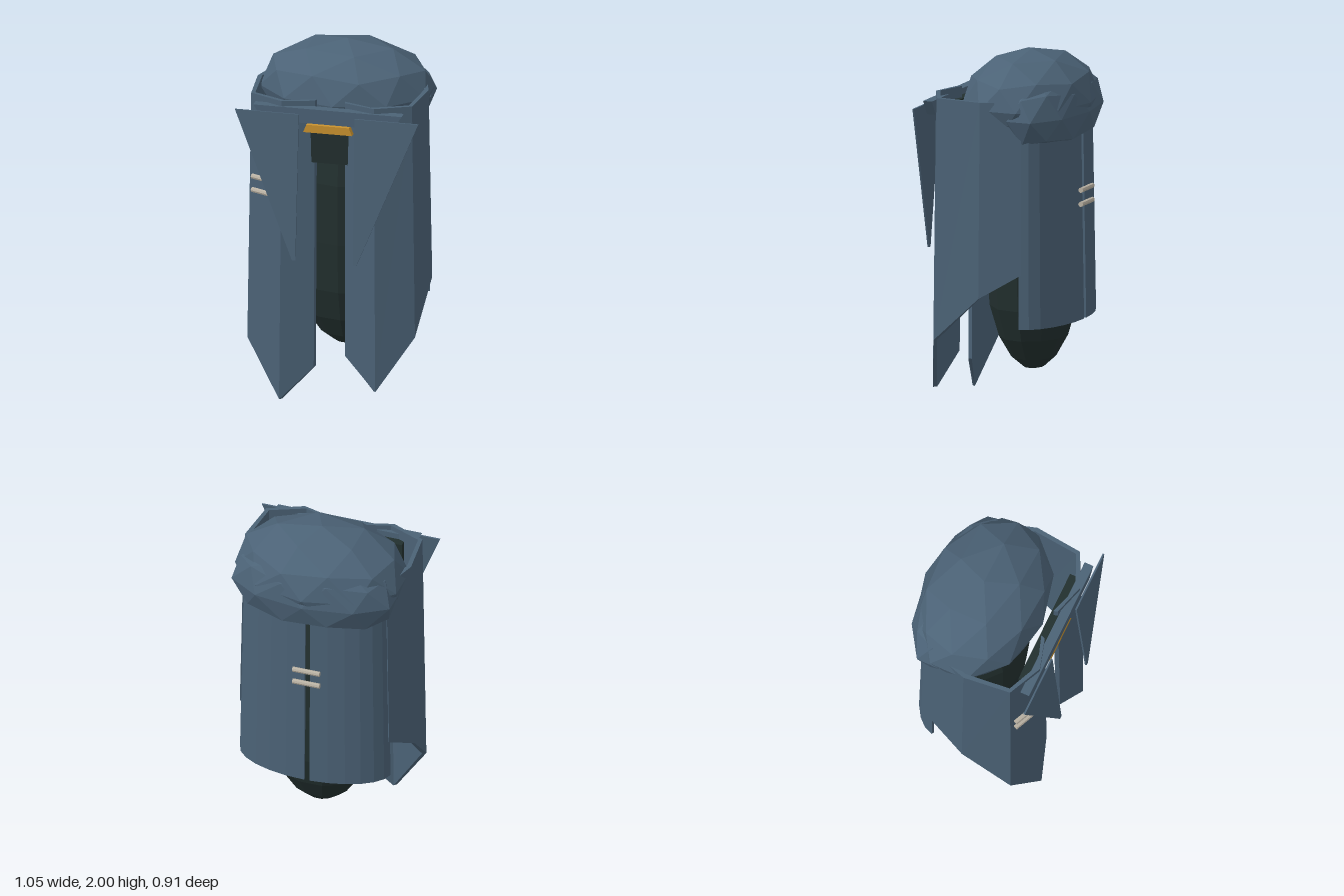
import * as THREE from 'three';

const flat = (color, name) => {
  const m = new THREE.MeshStandardMaterial({ color, flatShading: true, side: THREE.DoubleSide });
  m.name = name;
  return m;
};

// Low-poly ellipsoid with a vertex at the top
function ellipsoid(rx, ry, rz) {
  const g = new THREE.IcosahedronGeometry(1, 1);
  g.rotateZ(Math.atan(2 / (1 + Math.sqrt(5))));
  g.rotateY(Math.PI);
  return g.scale(rx, ry, rz);
}

// Thick cloth wall: stations [x, z, bottomY] run counter-clockwise seen from above
function clothWall(stations, topY, thickness) {
  const pos = [], idx = [];
  const inward = (x, z) => {
    const f = 1 - thickness / Math.hypot(x, z);
    return [x * f, z * f];
  };
  const taper = 0.96;
  stations.forEach(([x, z, y], i) => {
    const tx = x * taper, tz = z * taper;
    const [ix, iz] = inward(x, z), [jx, jz] = inward(tx, tz);
    pos.push(tx, topY, tz, x, y, z, ix, y, iz, jx, topY, jz);
    if (i === stations.length - 1) return;
    for (let k = 0; k < 4; k++) {
      const p = i * 4 + k, q = i * 4 + (k + 1) % 4;
      idx.push(q, q + 4, p + 4, q, p + 4, p);
    }
  });
  const e = (stations.length - 1) * 4;
  idx.push(0, 3, 2, 0, 2, 1, e, e + 1, e + 2, e, e + 2, e + 3);
  const g = new THREE.BufferGeometry();
  g.setAttribute('position', new THREE.Float32BufferAttribute(pos, 3));
  g.setIndex(idx);
  const out = g.toNonIndexed();
  out.computeVertexNormals();
  return out;
}

// Flat plate from outline points
function plate(points, depth) {
  const s = new THREE.Shape(points.map(([x, y]) => new THREE.Vector2(x, y)));
  return new THREE.ExtrudeGeometry(s, { depth, bevelEnabled: false });
}

export function createModel() {
  const root = new THREE.Group();
  root.name = 'hoodedCloak';
  const blue = flat(0x4b6276, 'slate blue cloth');
  const dark = flat(0x222f2e, 'dark lining');
  const gold = flat(0xc9922f, 'gold');
  const bone = flat(0xb9b1a3, 'pale metal');

  const add = (name, geo, mat, x = 0, y = 0, z = 0) => {
    const m = new THREE.Mesh(geo, mat);
    m.name = name;
    m.position.set(x, y, z);
    root.add(m);
    return m;
  };

  // Hood: dome plus a fuller, flat-bottomed roll at the back
  add('hoodDome', ellipsoid(0.5, 0.28, 0.36), blue, 0, 1.72, -0.1);
  const roll = ellipsoid(0.49, 0.26, 0.23);
  const rp = roll.attributes.position;
  for (let i = 0; i < rp.count; i++) rp.setY(i, Math.max(rp.getY(i), -0.17));
  add('hoodRoll', roll, blue, 0, 1.67, -0.225);

  // Dark inner body, tapering to a blunt tip
  const profile = [[0, 0.2], [0.055, 0.2], [0.12, 0.26], [0.185, 0.38], [0.235, 0.56],
    [0.255, 0.85], [0.255, 1.2], [0.2, 1.5], [0, 1.6]];
  const body = new THREE.LatheGeometry(profile.map(([r, y]) => new THREE.Vector2(r, y)), 11);
  body.scale(1.3, 1, 1);
  add('innerBody', body, dark, 0, 0, -0.115);
  add('chestLining', new THREE.BoxGeometry(0.68, 0.3, 0.05), dark, 0, 1.555, 0.295);

  // Front cloak panels; the one on the right hangs lower
  const panel = [[0.09, 0.325, 0.27], [0.275, 0.38, 0.09], [0.48, 0.285, 0.4],
    [0.51, 0, 0.66], [0.44, -0.23, 0.8]];
  add('leftCloakPanel', clothWall(panel, 1.77, 0.025), blue);
  const mirrored = panel.map(([x, z, y]) => [-x, z, y - (y < 0.1 ? 0.09 : 0.08)]).reverse();
  add('rightCloakPanel', clothWall(mirrored, 1.77, 0.025), blue);

  // Back curtain in two halves with a narrow slit
  const curtain = (from, to) => {
    const pts = [];
    for (let i = 0; i <= 6; i++) {
      const t = from + (to - from) * i / 6;
      pts.push([0.445 * Math.sin(t), -0.2 - 0.217 * Math.cos(t), 0.49]);
    }
    return clothWall(pts, 1.57, 0.015);
  };
  add('leftBackCurtain', curtain(1.5, -0.01), blue);
  add('rightBackCurtain', curtain(-0.08, -1.5), blue);

  // Collar bar and gold clasp plate beneath it
  add('collarBar', plate([[-0.37, 1.655], [0.37, 1.655], [0.425, 1.74], [-0.425, 1.74]], 0.053),
    blue, 0, 0, 0.32);
  add('goldPlate', plate([[-0.14, 1.6], [0.14, 1.6], [0.122, 1.645], [-0.122, 1.645]], 0.038),
    gold, 0, 0, 0.333);

  // Pointed lapels leaning forward at the tip
  for (const s of [1, -1]) {
    const pts = [[0.16, 0], [0.165, -0.85], [0.185, -0.85], [0.525, 0]].map(([x, y]) => [s * x, y]);
    const lapel = add(s > 0 ? 'leftLapel' : 'rightLapel', plate(pts, 0.01), blue, 0, 1.71, 0.384);
    lapel.rotation.x = -0.068;
  }

  // Paired toggle bars on the right panel and across the back slit
  const toggle = (name, x, y, z, turn) => {
    const g = new THREE.CylinderGeometry(0.015, 0.015, 0.16, 8).rotateZ(Math.PI / 2);
    add(name, g, bone, x, y, z).rotation.y = turn;
  };
  for (const [i, dy] of [0, -0.08].entries()) {
    toggle('frontToggle' + (i + 1), -0.375, 1.285 + dy, 0.333, -0.42);
    toggle('backToggle' + (i + 1), -0.02, 1.23 + dy, -0.425, 0);
  }
  return root;
}
